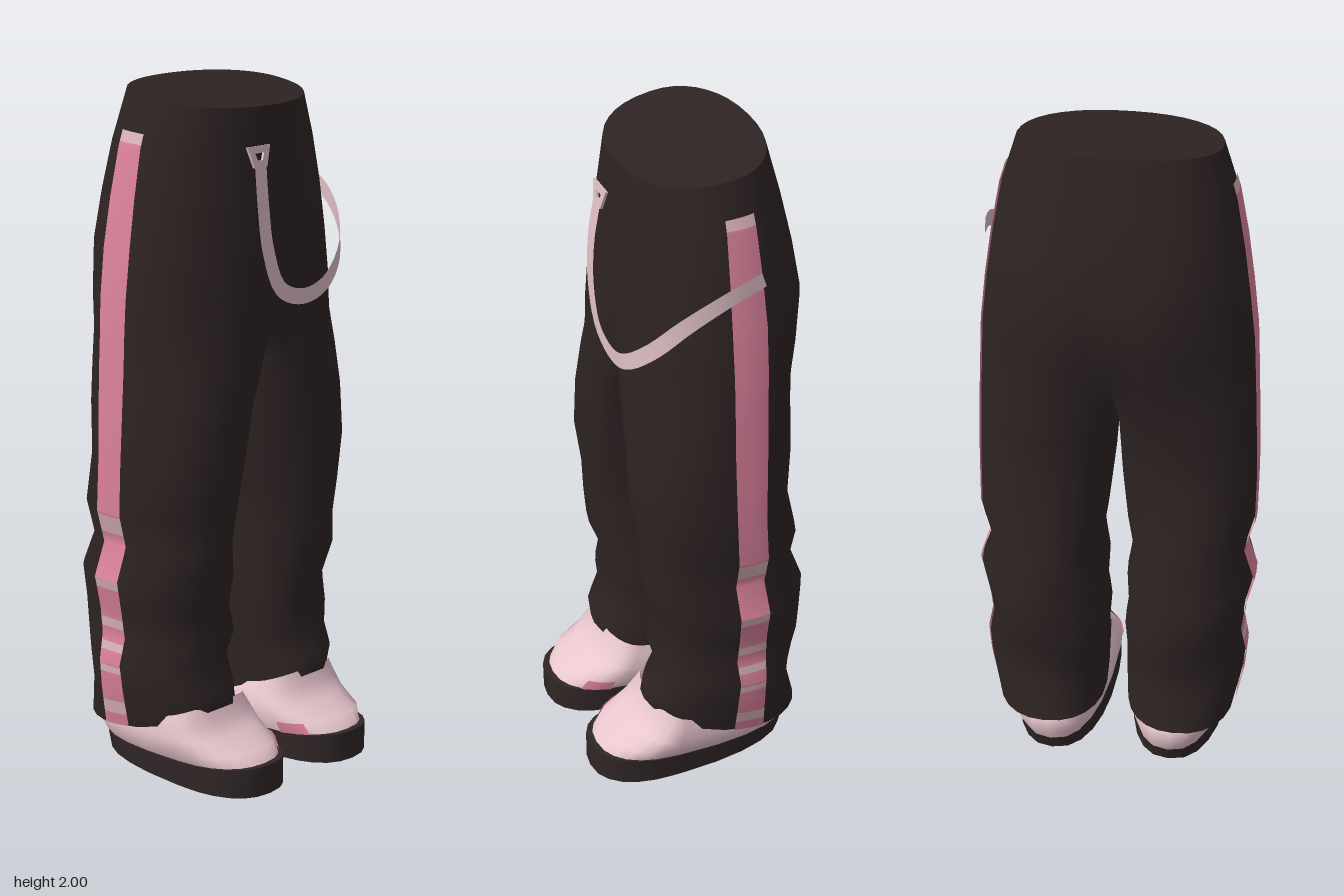
import * as THREE from 'three';
import { mergeVertices, mergeGeometries } from 'three/addons/utils/BufferGeometryUtils.js';

const mat = (name, color, side = THREE.FrontSide) => {
  const m = new THREE.MeshStandardMaterial({ color, side });
  m.name = name;
  return m;
};
const { lerp, clamp } = THREE.MathUtils;
const spow = (v, p) => Math.sign(v) * Math.pow(Math.abs(v), p);
const SIDES = 24, SEAM = Math.PI * 0.75;

// Sections: front y, back y, inner x, outer x, back z, front z, hip blend, seam dip, optional height curve
const LEG = [
  [1.945, 2.0, 0, 0.28, -0.235, 0.16, 1, 0],
  [1.83, 1.85, 0, 0.322, -0.275, 0.168, 1, 0.2],
  [1.7, 1.7, 0, 0.348, -0.312, 0.185, 1, 0.5],
  [1.56, 1.56, 0, 0.368, -0.338, 0.198, 1, 0.8],
  [1.42, 1.42, 0, 0.384, -0.32, 0.207, 1, 1.1],
  [1.32, 1.32, 0, 0.389, -0.303, 0.21, 1, 1.4],
  [1.22, 1.22, 0.002, 0.393, -0.285, 0.21, 0.6, 1],
  [1.1, 1.1, 0.005, 0.397, -0.27, 0.208, 0.2, 0],
  [0.95, 0.95, 0.013, 0.401, -0.252, 0.203, 0, 0],
  [0.8, 0.8, 0.03, 0.4, -0.285, 0.18, 0, 0],
  [0.7, 0.7, 0.046, 0.372, -0.28, 0.172, 0, 0],
  [0.6, 0.6, 0.03, 0.405, -0.305, 0.163, 0, 0],
  [0.5, 0.5, 0.035, 0.382, -0.305, 0.137, 0, 0],
  [0.42, 0.42, 0.025, 0.372, -0.312, 0.155, 0, 0],
  [0.34, 0.34, 0.03, 0.388, -0.285, 0.132, 0, 0],
  [0.28, 0.25, 0.03, 0.382, -0.28, 0.165, 0, 0, 1.5],
  [0.222, 0.13, 0.035, 0.358, -0.312, 0.17, 0, 0, 3],
];
const SOLE = [
  [0.088, 0.052, 0.032, 0.327, -0.295, 0.34],
  [0, 0, 0.032, 0.325, -0.28, 0.34],
];
const UPPER = [
  [0.235, 0.15, 0.05, 0.33, -0.28, 0.155, 0, 0, 2],
  [0.19, 0.14, 0.035, 0.338, -0.305, 0.172, 0, 0, 1.5],
  [0.148, 0.115, 0.026, 0.343, -0.313, 0.205],
  [0.117, 0.085, 0.025, 0.342, -0.313, 0.29],
  [0.086, 0.05, 0.035, 0.323, -0.298, 0.32],
];

// Point of a section at an angle: 0 is the outer side, a quarter turn is the front
function sectionPoint(r, a, shoe = false) {
  const [yF, yB, xi, xo, zb, zf, w = 0, dip = 0, curl = 1] = r;
  const zc = shoe ? Math.min(0.11, zf - 0.08) : -0.117 + 0.013 * (yF + yB);
  const p = shoe ? 0.84 : 0.91;
  const zAt = s => zc + (s > 0 ? zf - zc : zc - zb) * spow(s, p);
  let x = (xi + xo) / 2 + (xo - xi) / 2 * spow(Math.cos(a), p), z = zAt(Math.sin(a));
  if (!shoe && yF < 0.8 && yF > 0.25) z += 0.009 * Math.sin(3 * a + 15 * yF) * Math.sin(a) ** 2;
  if (w > 0) {
    // Hips: the outer arc spans half the body, the inner arc lies on the centre line
    const inner = Math.abs(a) > SEAM - 1e-6;
    const h = a / 1.5;
    const hx = inner ? 0 : xo * Math.pow(Math.max(0, Math.cos(h)), 0.9);
    let hz = inner ? lerp(zb, zf, 0.5 + 0.5 * Math.sign(a) * (Math.PI - Math.abs(a)) / (Math.PI - SEAM)) : zAt(Math.sin(h));
    hz -= Math.sign(a) * (a > 0 ? 0.035 : 0.02) * dip * Math.max(0, 1 - hx / 0.12);
    x = lerp(x, hx, w);
    z = lerp(z, hz, w);
  }
  return [x, lerp(yB, yF, clamp((z - zb) / (zf - zb), 0, 1) ** curl), z];
}

// Grid surface; side -1 mirrors it to the other half
function grid(rows, cols, fn, side = 1, keep = () => true) {
  const pos = [], idx = [];
  for (let i = 0; i < rows; i++) for (let j = 0; j < cols; j++) {
    const p = fn(i, j);
    pos.push(p[0] * side, p[1], p[2]);
  }
  for (let i = 0; i < rows - 1; i++) for (let j = 0; j < cols - 1; j++) {
    if (!keep(i, j)) continue;
    const a = i * cols + j, b = a + 1, c = a + cols, d = c + 1;
    idx.push(...(side > 0 ? [a, b, c, b, d, c] : [a, c, b, b, c, d]));
  }
  const g = new THREE.BufferGeometry();
  g.setAttribute('position', new THREE.Float32BufferAttribute(pos, 3));
  g.setIndex(idx);
  return g;
}
const smooth = g => {
  const m = mergeVertices(g, 1e-4);
  m.computeVertexNormals();
  return m;
};
const angle = j => -Math.PI + (j / SIDES) * Math.PI * 2;
const tube = (rings, side, shoe, keep) =>
  grid(rings.length, SIDES + 1, (i, j) => sectionPoint(rings[i], angle(j), shoe), side, keep);
// Flat lid over one section
function lid(r, side, up, shoe) {
  const c = [r[6] ? 0 : (r[2] + r[3]) / 2, (r[0] + r[1]) / 2, (r[4] + r[5]) / 2];
  return smooth(grid(2, SIDES + 1, (i, j) => ((i === 0) === up ? c : sectionPoint(r, angle(j), shoe)), side));
}
// Interpolated trouser section at a height
const mid = r => (r[0] + r[1]) / 2;
function legAt(y) {
  let k = 0;
  while (k < LEG.length - 2 && mid(LEG[k + 1]) > y) k++;
  const t = (mid(LEG[k]) - y) / (mid(LEG[k]) - mid(LEG[k + 1]));
  return LEG[k].map((v, n) => lerp(v, LEG[k + 1][n], t));
}

export function createModel() {
  const model = new THREE.Group();
  const dark = mat('darkCloth', 0x2e2323);
  const soleDark = mat('darkSole', 0x302626);
  const pink = mat('pinkStripe', 0xdb829c, THREE.DoubleSide);
  const pale = mat('paleStripe', 0xdab4bb, THREE.DoubleSide);
  const shoePink = mat('palePinkShoe', 0xe8c6ce);
  const strapMat = mat('strapPink', 0xe0c0c7, THREE.DoubleSide);
  const add = (name, geo, material, parent = model) => {
    const m = new THREE.Mesh(geo, material);
    m.name = name;
    parent.add(m);
    return m;
  };

  // Trousers: both halves welded along the centre seam, open inside the hips
  const keep = (i, j) => LEG[i + 1][6] < 1 || (j >= 3 && j < SIDES - 3);
  add('trousers', smooth(mergeGeometries([1, -1].map(s => tube(LEG, s, false, keep)))), dark);
  add('waistTop', mergeGeometries([1, -1].map(s => lid(LEG[0], s, true))), dark);

  // Heights where the side stripe changes between pale and pink
  const edges = [1.88, 1.85, 0.79, 0.735, 0.6, 0.57, 0.475, 0.445, 0.4, 0.375, 0.33, 0.31, 0.235, 0.205, 0.178];
  for (const side of [1, -1]) {
    const label = side > 0 ? 'left' : 'right';
    const stripe = new THREE.Group();
    stripe.name = label + 'SideStripe';
    model.add(stripe);
    for (let b = 0; b < edges.length - 1; b++) {
      const ys = [edges[b], ...LEG.map(mid).filter(y => y < edges[b] && y > edges[b + 1]), edges[b + 1]];
      const geo = grid(ys.length, 5, (i, j) => {
        const r = legAt(ys[i]);
        const p = sectionPoint(r, (j / 2 - 1) * 0.17 * (1 + 0.45 * r[6]));
        return [p[0] + 0.005, p[1], p[2]];
      }, side);
      add(b % 2 ? 'stripeBand' : 'stripePaleBand', smooth(geo), b % 2 ? pink : pale, stripe);
    }

    // Shoe
    const shoe = new THREE.Group();
    shoe.name = label + 'Shoe';
    model.add(shoe);
    const sole = [smooth(tube(SOLE, side, true)), lid(SOLE[0], side, true, true), lid(SOLE[1], side, false, true)];
    add('sole', mergeGeometries(sole), soleDark, shoe);
    add('upper', smooth(tube(UPPER, side, true)), shoePink, shoe);
    // Pink patch on the inner side of the toe
    add('toePatch', smooth(grid(2, 3, (i, j) => {
      const p = sectionPoint(UPPER[3 + i], angle(21 + j), true);
      return [p[0] - 0.004, p[1], p[2] + 0.003];
    }, side)), pink, shoe);
    add(label + 'HemUnderside', lid(LEG[LEG.length - 1], side, false), dark);
  }

  // Hanging strap from the front clip round to the left hip
  const curve = new THREE.CatmullRomCurve3([
    [-0.066, 1.8, 0.186], [-0.072, 1.68, 0.203], [-0.06, 1.55, 0.212], [-0.01, 1.435, 0.214], [0.085, 1.4, 0.214],
    [0.18, 1.425, 0.212], [0.28, 1.505, 0.175], [0.342, 1.6, 0.1], [0.372, 1.67, 0], [0.365, 1.708, -0.115],
  ].map(p => new THREE.Vector3(...p)));
  const n = 40;
  const strap = grid(n + 1, 2, (i, j) => {
    const p = curve.getPoint(i / n);
    const out = new THREE.Vector3(Math.max(0, p.x) ** 3 / 0.14, 0, Math.max(0.01, p.z + 0.07)).normalize();
    const across = curve.getTangent(i / n).cross(out).normalize();
    return p.addScaledVector(across, j ? 0.023 : -0.023).toArray();
  });
  add('hangingStrap', smooth(strap), strapMat);

  // Clip plate with a small slot
  const points = list => list.map(p => new THREE.Vector2(...p));
  const plate = new THREE.Shape(points([[-0.045, 0.03], [-0.025, -0.03], [0.025, -0.03], [0.045, 0.03]]));
  plate.holes.push(new THREE.Path(points([[-0.018, 0.01], [0.018, 0.01], [0.01, -0.01], [-0.01, -0.01]])));
  const clip = add('strapClip', new THREE.ExtrudeGeometry(plate, { depth: 0.008, bevelEnabled: false }), strapMat);
  clip.position.set(-0.065, 1.81, 0.176);
  clip.rotation.x = -0.15;

  return model;
}
